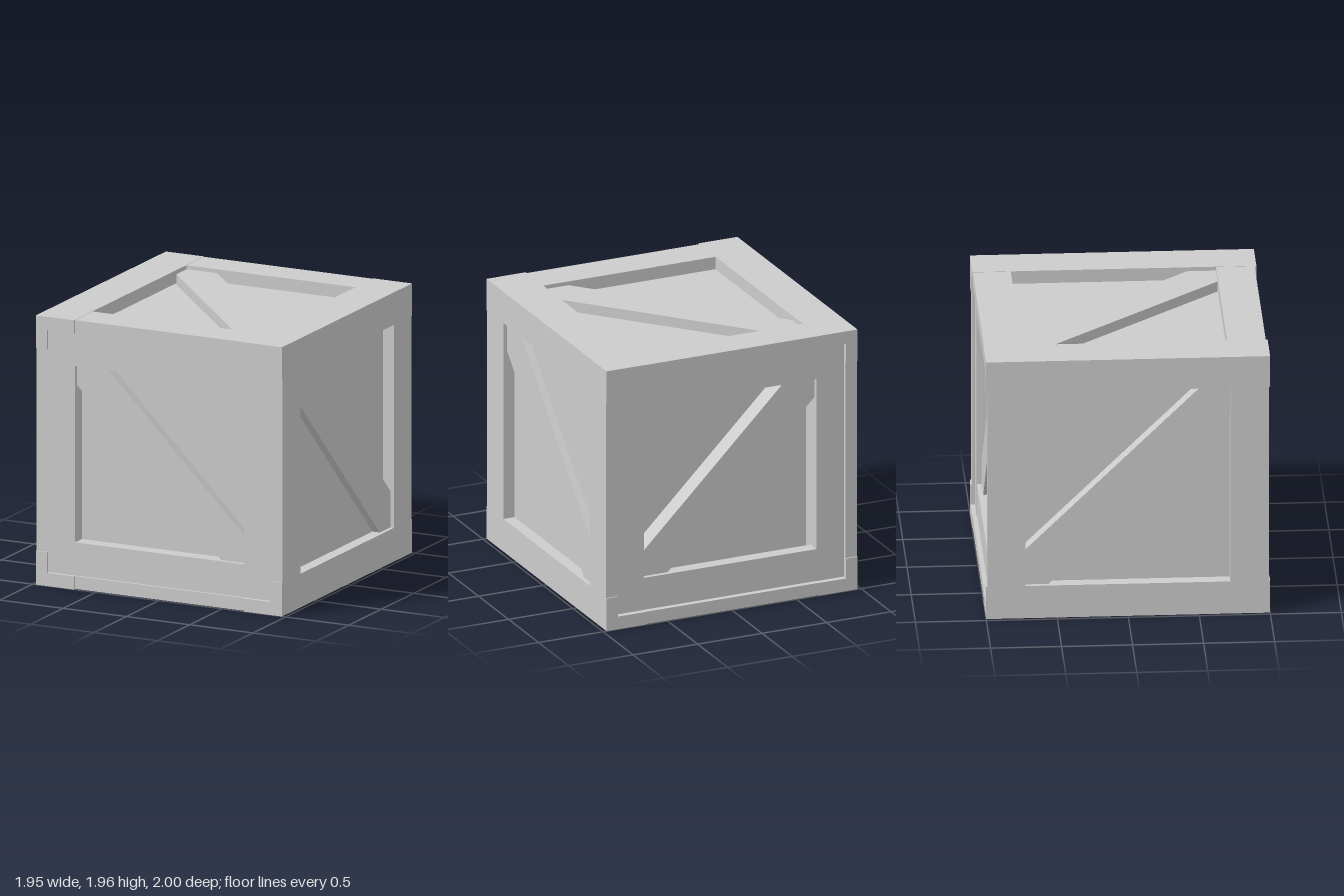
import * as THREE from 'three';

const material = new THREE.MeshStandardMaterial({ color: 0xcccccc, flatShading: true });

// Board spanning u, v in a face's own plane and w through its thickness
function board(name, [u0, u1], [v0, v1], [w0, w1]) {
  const geometry = new THREE.BoxGeometry(u1 - u0, v1 - v0, w1 - w0);
  geometry.translate((u0 + u1) / 2, (v0 + v1) / 2, (w0 + w1) / 2);
  const mesh = new THREE.Mesh(geometry, material);
  mesh.name = name;
  return mesh;
}

// Diagonal brace trimmed to fit the corners of its opening
function brace(points, [w0, w1]) {
  const shape = new THREE.Shape(points.map(([u, v]) => new THREE.Vector2(u, v)));
  const geometry = new THREE.ExtrudeGeometry(shape, { depth: w1 - w0, bevelEnabled: false });
  geometry.translate(0, 0, w0);
  const mesh = new THREE.Mesh(geometry, material);
  mesh.name = 'diagonalBrace';
  return mesh;
}

function face(name, parts) {
  const group = new THREE.Group();
  group.name = name;
  group.add(...parts);
  return group;
}

// Thickness range measured inward from an outer surface, on either side (s = 1 or -1)
const span = (s, outer, inner) => (s > 0 ? [inner, outer] : [-outer, -inner]);

export function createModel() {
  const crate = new THREE.Group();
  crate.name = 'crate';

  // Closed inner box forming the recessed panels
  crate.add(board('innerPanels', [-0.835, 0.885], [0.055, 1.85], [-0.79, 0.88]));

  // Front and back frames; the back panel sits deeper, behind thinner rails
  const frontBrace = [[-0.67, 1.62], [-0.67, 1.475], [0.47, 0.34], [0.667, 0.34], [0.667, 0.52], [-0.43, 1.62]];
  for (const [name, s, outer, inner, railInner] of [
    ['frontFace', 1, 0.99, 0.87, 0.87],
    ['backFace', -1, 0.97, 0.78, 0.87],
  ]) {
    const stile = span(s, outer, inner);
    const rail = span(s, outer - 0.003, railInner);
    crate.add(face(name, [
      board('stile', [-0.885, -0.67], [0.1, 1.862], stile),
      board('stile', [0.667, 0.885], [0.1, 1.862], stile),
      board('rail', [-0.67, 0.667], [0.1, 0.34], rail),
      board('rail', [-0.67, 0.667], [1.62, 1.862], rail),
      brace(frontBrace, span(s, outer - 0.035, inner)),
    ]));
  }

  // Side frames: u runs along z, w runs along -x
  const sideBrace = [[0.72, 1.72], [0.72, 1.505], [-0.56, 0.245], [-0.724, 0.245], [-0.724, 0.51], [0.51, 1.72]];
  for (const [name, s, braceInner] of [['leftFace', -1, 0.87], ['rightFace', 1, 0.825]]) {
    const depth = span(s, 0.973, 0.883);
    const side = face(name, [
      board('rail', [-1, 1], [0, 0.245], depth),
      board('rail', [-1, 1], [1.72, 1.956], depth),
      board('stile', [-0.99, -0.724], [0.245, 1.72], depth),
      board('stile', [0.72, 0.99], [0.245, 1.72], depth),
      brace(sideBrace, span(s, 0.943, braceInner)),
    ]);
    side.rotation.y = -Math.PI / 2;
    crate.add(side);
  }

  // Top and bottom frames: v runs along z, w runs along -y from mid height
  const topBrace = [[-0.67, -0.73], [-0.67, -0.57], [0.47, 0.715], [0.667, 0.715], [0.667, 0.51], [-0.43, -0.73]];
  for (const [name, s, braceOuter] of [['topFace', -1, 0.948], ['bottomFace', 1, 0.953]]) {
    const rail = span(s, 0.978, 0.883);
    const cross = span(s, 0.976, 0.883);
    const lid = face(name, [
      board('rail', [-0.885, -0.67], [-1, 1], rail),
      board('rail', [0.667, 0.885], [-1, 1], rail),
      board('crossRail', [-0.67, 0.667], [-0.997, -0.73], cross),
      board('crossRail', [-0.67, 0.667], [0.715, 0.987], cross),
      brace(topBrace, span(s, braceOuter, 0.86)),
    ]);
    lid.rotation.x = Math.PI / 2;
    lid.position.y = 0.978;
    crate.add(lid);
  }
  return crate;
}
